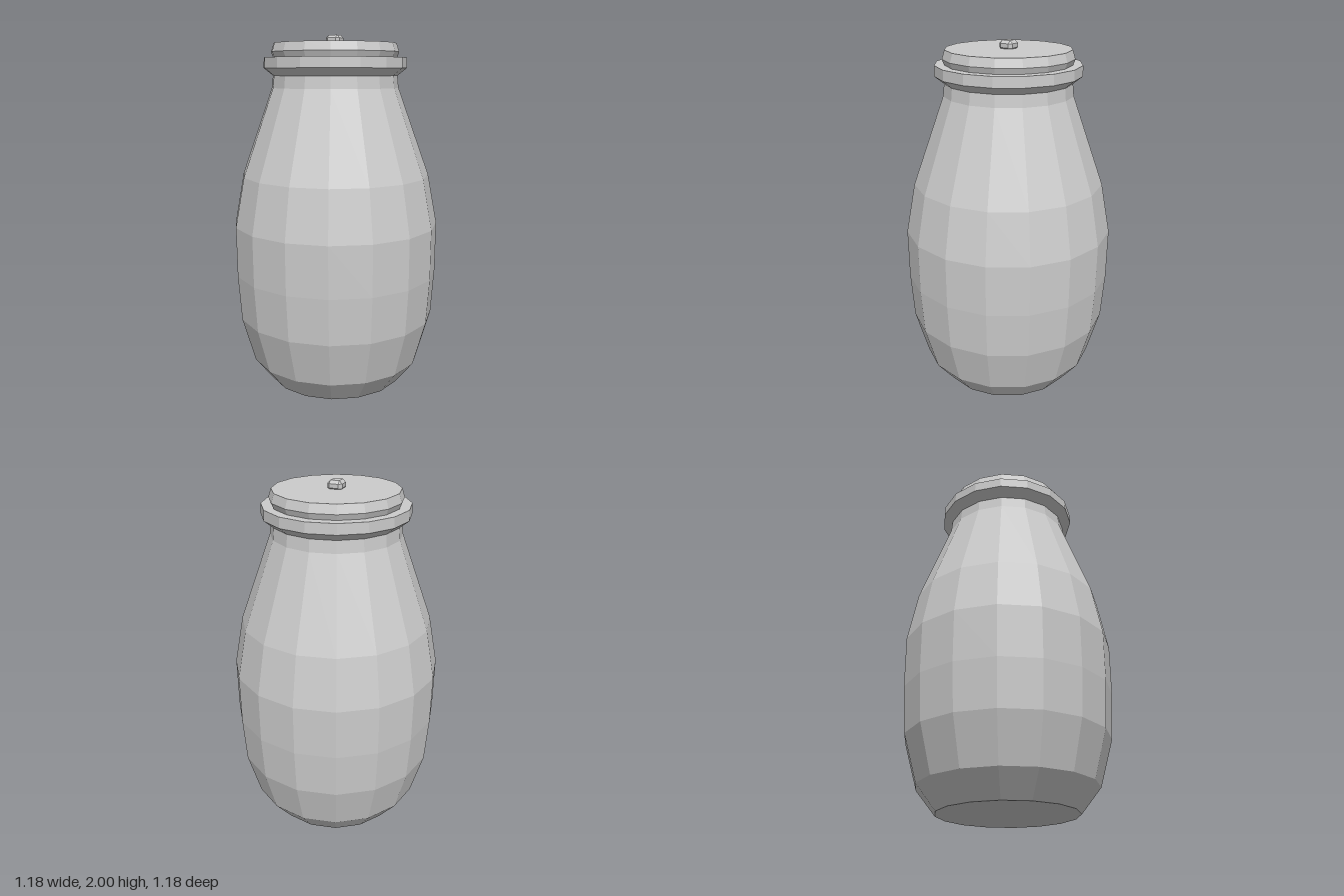
import * as THREE from 'three';
import { ConvexGeometry } from 'three/addons/geometries/ConvexGeometry.js';

const SIDES = 16;
const material = new THREE.MeshStandardMaterial({ color: 0xcccccc, flatShading: true });

// The jar leans very slightly off its axis towards the top.
function lean(geometry) {
  const p = geometry.attributes.position;
  for (let i = 0; i < p.count; i++) {
    p.setX(i, p.getX(i) - 0.004 * p.getY(i));
    p.setZ(i, p.getZ(i) - 0.0015 * p.getY(i));
  }
  geometry.computeVertexNormals();
  return geometry;
}

function part(name, geometry) {
  const mesh = new THREE.Mesh(lean(geometry), material);
  mesh.name = name;
  return mesh;
}

// Profile of [radius, height] pairs, listed from bottom to top.
function turned(name, profile) {
  return part(name, new THREE.LatheGeometry(profile.map(([r, y]) => new THREE.Vector2(r, y)), SIDES));
}

export function createModel() {
  const jar = new THREE.Group();
  jar.name = 'jar';

  // Barrel-shaped body, closed underneath, rising to a short neck
  jar.add(turned('body', [
    [0, 0], [0.388, 0], [0.497, 0.137], [0.57, 0.395], [0.588, 0.655], [0.59, 0.94],
    [0.536, 1.222], [0.359, 1.712], [0.352, 1.78],
  ]));

  // Flared collar around the neck
  jar.add(turned('collar', [
    [0.35, 1.777], [0.404, 1.82], [0.402, 1.877], [0.34, 1.877],
  ]));

  // Bevelled lid disc
  jar.add(turned('lid', [
    [0.348, 1.877], [0.36, 1.908], [0.345, 1.956], [0, 1.956],
  ]));

  // Small knob: a cube with every edge and corner cut
  const inner = 0.025, outer = 0.042, points = [];
  for (const sx of [-1, 1]) for (const sz of [-1, 1]) {
    for (const y of [1.945, 2]) points.push(new THREE.Vector3(sx * inner, y, sz * inner));
    for (const y of [1.962, 1.984]) {
      points.push(new THREE.Vector3(sx * outer, y, sz * inner));
      points.push(new THREE.Vector3(sx * inner, y, sz * outer));
    }
  }
  jar.add(part('knob', new ConvexGeometry(points)));

  return jar;
}
